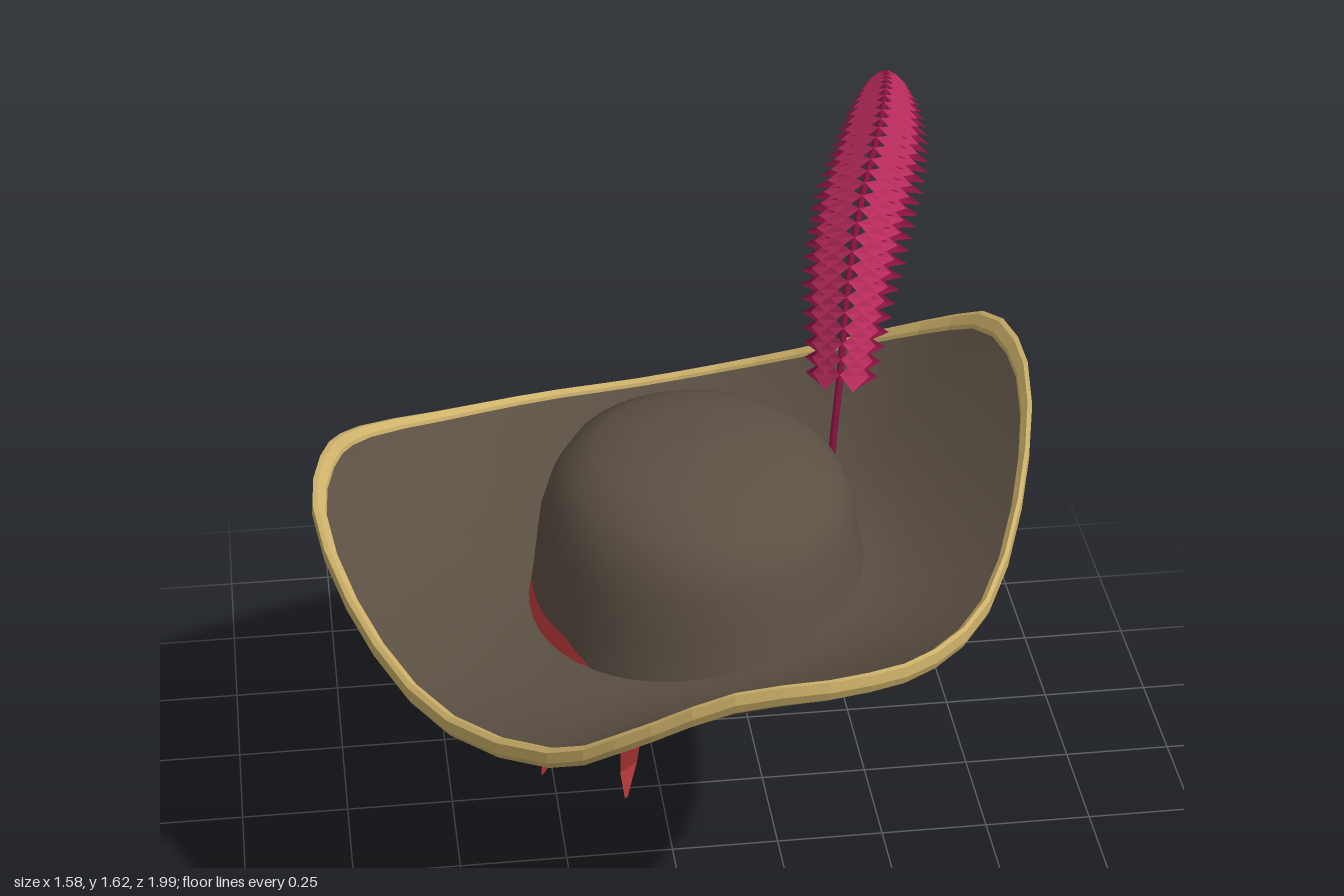
import * as THREE from 'three';

const paint = (name, color) => new THREE.MeshStandardMaterial({ name, color, side: THREE.DoubleSide });
const V = (x, y, z) => new THREE.Vector3(x, y, z);
const SEG = 48, CX = 0.035, CZ = 0.13, RX = 0.365, RZ = 0.4;

// Surface from rows of points; fn(row, column) returns a Vector3
function grid(rows, cols, fn, wrap = true) {
  const pos = [], index = [], n = wrap ? cols : cols - 1;
  for (let i = 0; i < rows; i++) for (let j = 0; j < cols; j++) pos.push(...fn(i, j).toArray());
  for (let i = 0; i < rows - 1; i++) for (let j = 0; j < n; j++) {
    const k = (j + 1) % cols, a = i * cols + j, b = i * cols + k, c = a + cols, d = b + cols;
    index.push(a, b, c, b, d, c);
  }
  const g = new THREE.BufferGeometry();
  g.setAttribute('position', new THREE.Float32BufferAttribute(pos, 3));
  g.setIndex(index);
  g.computeVertexNormals();
  return g;
}

function faceted(g) {
  const f = g.toNonIndexed();
  f.computeVertexNormals();
  return f;
}

export function createModel() {
  const hat = new THREE.Group();
  hat.name = 'featheredHat';
  const felt = paint('brownFelt', 0x5c5044);
  const gold = paint('goldTrim', 0xcdb16a);
  const red = paint('redCloth', 0xc63e3e);
  const pink = paint('crimsonVane', 0xb52a5a);
  const plum = paint('darkCrimsonBarb', 0x85123f);
  const add = (name, geo, mat, parent = hat) => {
    const m = new THREE.Mesh(geo, mat);
    m.name = name;
    parent.add(m);
    return m;
  };

  // Wavy brim edge, clockwise from the front
  const rim = new THREE.CatmullRomCurve3([
    [0, 1.145, 0.985], [0.23, 1.13, 0.94], [0.43, 1.06, 0.78], [0.61, 1.02, 0.52], [0.74, 1.13, 0.21],
    [0.785, 1.245, -0.03], [0.75, 1.265, -0.21], [0.64, 1.17, -0.37], [0.43, 1.04, -0.52], [0.22, 0.95, -0.61],
    [0, 0.905, -0.635], [-0.23, 0.9, -0.61], [-0.47, 0.935, -0.5], [-0.68, 1.0, -0.34], [-0.75, 1.03, -0.21],
    [-0.785, 1.0, -0.03], [-0.71, 0.895, 0.26], [-0.56, 0.85, 0.57], [-0.34, 0.93, 0.84], [-0.19, 1.04, 0.935],
  ].map(p => V(...p)), true);
  const edge = Array.from({ length: SEG }, (_, j) => rim.getPoint(j / SEG));
  const tilt = x => 0.865 + 0.16 * x;
  const brim = (j, t, dy) => {
    const e = edge[j], a = Math.atan2((e.z - CZ) / RZ, (e.x - CX) / RX);
    const x = CX + RX * Math.cos(a), z = CZ + RZ * Math.sin(a), y = tilt(x);
    return V(x + (e.x - x) * t, y + (e.y - y) * Math.pow(t, 1.6) + dy, z + (e.z - z) * t);
  };
  add('brimTop', grid(11, SEG, (i, j) => brim(j, i / 10, 0)), felt);
  add('brimUnderside', grid(11, SEG, (i, j) => brim(j, i / 10, -0.025)), felt);

  // Gold binding wrapped round the brim edge
  const wrap = [[0.945, 0.001], [0.95, 0.009], [0.985, 0.013], [1.01, 0.004], [1.014, -0.022], [0.99, -0.036], [0.95, -0.034], [0.945, -0.026]];
  add('brimBinding', faceted(grid(wrap.length, SEG, (i, j) => brim(j, ...wrap[i]))), gold);

  // Domed crown, tilted at its base and level on top
  const dome = [[1, 0.865], [0.965, 0.95], [0.93, 1.04], [0.87, 1.1], [0.77, 1.15], [0.6, 1.188], [0.35, 1.212], [0, 1.22]];
  add('crown', grid(dome.length, SEG, (i, j) => {
    const [s, y] = dome[i], a = j / SEG * Math.PI * 2, x = CX + s * RX * Math.cos(a);
    return V(x, y + 0.16 * x * Math.max(0, 1 - i / 4), CZ + s * RZ * Math.sin(a));
  }), felt);

  // Cloth headband, showing above the brim on the low side
  add('headband', grid(3, SEG, (i, j) => {
    const a = j / SEG * Math.PI * 2, s = 1.015 - 0.015 * i;
    const x = CX + s * RX * Math.cos(a), z = CZ + s * RZ * Math.sin(a);
    const low = 0.785 + 0.025 * z, high = 0.862 + 0.16 * Math.max(x, 0);
    return V(x, low + (high - low) * i / 2, z);
  }), red);
  const knot = add('knot', new THREE.SphereGeometry(0.042, 12, 8), red);
  knot.position.set(-0.215, 0.845, -0.19);
  knot.scale.set(1, 0.9, 0.8);

  // Two hanging ribbons: points are x, y, z and half width
  const ribbon = (name, pts) => add(name, faceted(grid(pts.length, 2, (i, j) => {
    const [x, y, z, w] = pts[i], s = j ? w : -w;
    return V(x + s * 0.75, y, z - s * 0.66);
  }, false)), red);
  ribbon('shortRibbon', [[-0.215, 0.85, -0.2, 0.02], [-0.225, 0.78, -0.19, 0.035], [-0.24, 0.66, -0.21, 0.04], [-0.225, 0.58, -0.19, 0.038],
    [-0.14, 0.47, -0.1, 0.035], [-0.135, 0.4, -0.09, 0.034], [-0.2, 0.26, -0.14, 0.032], [-0.265, 0.15, -0.2, 0.03], [-0.285, 0.09, -0.21, 0.005]]);
  ribbon('longRibbon', [[-0.21, 0.85, -0.19, 0.02], [-0.195, 0.78, -0.18, 0.035], [-0.16, 0.68, -0.19, 0.045], [-0.14, 0.6, -0.17, 0.045],
    [-0.075, 0.46, -0.04, 0.042], [-0.075, 0.39, -0.02, 0.04], [-0.085, 0.25, -0.1, 0.036], [-0.08, 0.1, -0.2, 0.03], [-0.085, 0.0, -0.212, 0.005]]);

  // Gold button holding the quill
  const button = add('quillButton', new THREE.SphereGeometry(0.045, 16, 10), gold);
  button.position.set(0.345, 1.05, 0.0);
  button.scale.set(0.4, 1, 1);
  button.rotation.set(0, 0.2, 0.15);

  // Curved feather: quill plus layered drooping barbs
  const feather = new THREE.Group();
  feather.name = 'feather';
  hat.add(feather);
  const spine = new THREE.CatmullRomCurve3([
    [0.345, 1.0, 0.02], [0.355, 1.1, 0.0], [0.375, 1.23, -0.05], [0.41, 1.41, -0.17], [0.46, 1.53, -0.31],
    [0.53, 1.605, -0.5], [0.58, 1.61, -0.7], [0.61, 1.56, -0.86], [0.63, 1.48, -0.985],
  ].map(p => V(...p)));
  add('quill', new THREE.TubeGeometry(spine, 36, 0.008, 6), plum, feather);

  const side = V(0.97, 0, 0.25).normalize();
  const leaves = (reach, lift, half, count) => {
    const pos = [];
    for (let i = 0; i < count; i++) for (const s of [-1, 1]) {
      const f = i / (count - 1), u = 0.18 + 0.8 * f;
      const p = spine.getPointAt(u), t = spine.getTangentAt(u), n = side.clone().cross(t).normalize();
      const len = reach * (0.08 + 0.05 * Math.sin(Math.PI * Math.min(1, f * 1.15)) - 0.045 * f * f);
      const at = (w, along, drop) => p.clone().addScaledVector(side, s * w * len)
        .addScaledVector(t, along).addScaledVector(n, lift - drop * len).toArray();
      const root = at(0, 0, 0), tip = at(1, 0.035 * f, 0.65);
      const back = at(0.5, -half, 0.22), front = at(0.5, half, 0.22);
      const tris = s > 0 ? [root, back, tip, root, tip, front] : [root, tip, back, root, front, tip];
      pos.push(...tris.flat());
    }
    const g = new THREE.BufferGeometry();
    g.setAttribute('position', new THREE.Float32BufferAttribute(pos, 3));
    g.computeVertexNormals();
    return g;
  };
  add('outerBarbs', leaves(1, 0, 0.026, 34), plum, feather);
  add('innerVane', leaves(0.78, 0.009, 0.036, 34), pink, feather);

  return hat;
}
